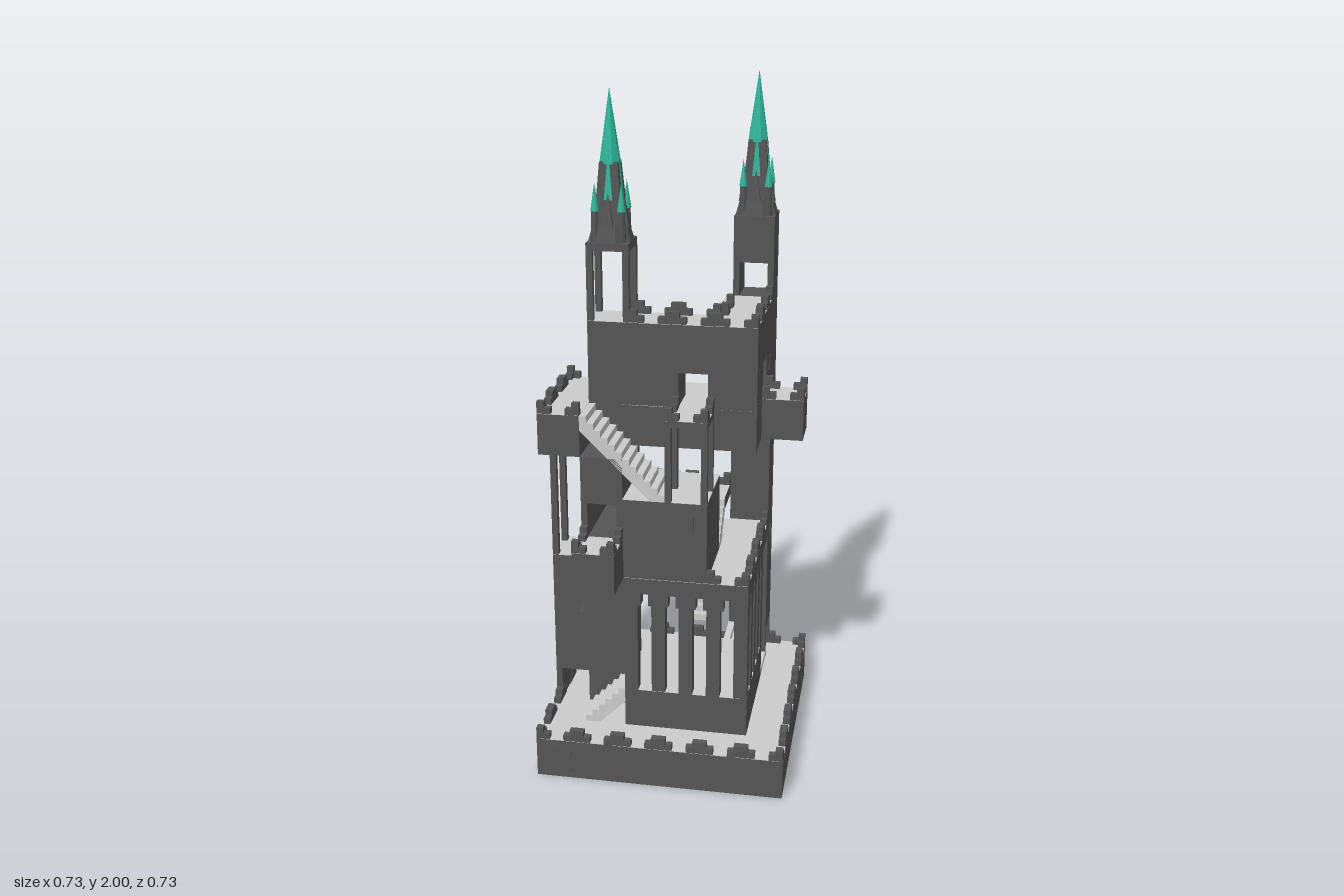
import * as THREE from 'three';
import { mergeGeometries } from 'three/addons/utils/BufferGeometryUtils.js';

// Everything is laid out on a grid of cells; one cell is U units.
const U = 0.1217;
const COLORS = { wall: 0x555555, floor: 0xcccccc, green: 0x2fb89a };

export function createModel() {
  const parts = {};
  const put = (name, color, g) => {
    const flat = g.index ? g.toNonIndexed() : g;
    flat.deleteAttribute('uv');
    (parts[name] ??= { color, list: [] }).list.push(flat);
  };
  const box = (name, x0, x1, y0, y1, z0, z1, color = 'wall') =>
    put(name, color, new THREE.BoxGeometry(x1 - x0, y1 - y0, z1 - z0)
      .translate((x0 + x1) / 2, (y0 + y1) / 2, (z0 + z1) / 2));

  // block with a light walking surface
  const deck = (name, x0, x1, y0, y1, z0, z1) => {
    box(name, x0, x1, y0, y1, z0, z1);
    box('paving', x0, x1, y1, y1 + 0.01, z0, z1, 'floor');
  };

  // stepped merlons along a straight edge; n is the inward direction
  const parapet = (y, x0, z0, x1, z1, nx, nz) => {
    const len = Math.hypot(x1 - x0, z1 - z0), dx = (x1 - x0) / len, dz = (z1 - z0) / len;
    for (let i = 0; i < len; i++) {
      for (const [a, b, h] of [[0, 0.17, 0.3], [0.17, 0.33, 0.16], [0.67, 0.83, 0.16], [0.83, 1, 0.3]]) {
        const xs = [x0 + dx * (i + a), x0 + dx * (i + b) + nx * 0.17].sort((p, q) => p - q);
        const zs = [z0 + dz * (i + a), z0 + dz * (i + b) + nz * 0.17].sort((p, q) => p - q);
        box('battlements', xs[0], xs[1], y, y + h, zs[0], zs[1]);
      }
    }
  };
  // sides: n = back, s = front, e = +x, w = -x
  const crown = (y, x0, x1, z0, z1, sides = 'nsew') => {
    if (sides.includes('n')) parapet(y, x0, z0, x1, z0, 0, 1);
    if (sides.includes('s')) parapet(y, x0, z1, x1, z1, 0, -1);
    if (sides.includes('w')) parapet(y, x0, z0, x0, z1, 1, 0);
    if (sides.includes('e')) parapet(y, x1, z0, x1, z1, -1, 0);
  };

  // four corner posts with a lintel ring
  const posts = (name, x, z, y0, y1, t = 0.15, lintel = 0.15) => {
    for (const a of [x, x + 1 - t]) for (const b of [z, z + 1 - t]) box(name, a, a + t, y0, y1, b, b + t);
    box(name, x, x + 1, y1 - lintel, y1, z, z + 1);
  };
  // one-cell passage running along 'x' or 'z'
  const passage = (name, x, z, y, axis) => {
    const t = 0.15;
    for (const s of [0, 1 - t]) {
      if (axis === 'z') box(name, x + s, x + s + t, y, y + 1, z, z + 1);
      else box(name, x, x + 1, y, y + 1, z + s, z + s + t);
    }
    box(name, x, x + 1, y + 0.85, y + 1, z, z + 1);
  };

  // flight of stairs with a sloping underside, rising at 45 degrees
  const flight = (x, y, z, angle, len = 1) => {
    const n = 6 * len, s = new THREE.Shape().moveTo(0, 0);
    for (let i = 0; i < n; i++) s.lineTo(i / 6, (i + 1) / 6).lineTo((i + 1) / 6, (i + 1) / 6);
    s.lineTo(len, len - 0.35).lineTo(0.35, 0);
    put('stairs', 'floor', new THREE.ExtrudeGeometry(s, { depth: 1, bevelEnabled: false })
      .rotateY(angle).translate(x, y, z));
  };
  const E = 0, N = Math.PI / 2, W = Math.PI, S = -Math.PI / 2;

  // tapering prism; four sides are turned flat to the axes
  const taper = (name, color, sides, r0, r1, y0, y1, x, z) =>
    put(name, color, new THREE.CylinderGeometry(r1, r0, y1 - y0, sides, 1)
      .rotateY(Math.PI / sides).translate(x, (y0 + y1) / 2, z));
  const spire = (x, z, y, skirt) => {
    box('spireBase', x - 0.5, x + 0.5, y - 0.08, y, z - 0.5, z + 0.5);
    taper('spireSkirt' + skirt, skirt, 8, 0.54, 0.42, y, y + 0.4, x, z);
    taper('spireBody', 'wall', 4, 0.48, 0.3, y + 0.3, y + 1.8, x, z);
    taper('spireTip', 'green', 8, 0.25, 0, y + 1.75, y + 3.43, x, z);
    for (let i = 0; i < 4; i++) {
      const a = i * Math.PI / 2, c = Math.cos(a), s = Math.sin(a);
      const px = x + 0.31 * (c - s), pz = z + 0.31 * (c + s);
      taper('pinnacleShaft', 'wall', 8, 0.1, 0.08, y, y + 0.7, px, pz);
      taper('pinnacleTip', 'green', 8, 0.1, 0, y + 0.7, y + 1.35, px, pz);
      // steep gable on each side
      taper('spireGable', 'wall', 4, 0.2, 0, y + 0.3, y + 1.1, x + c * 0.3, z + s * 0.3);
      taper('dormerTip', 'green', 4, 0.14, 0, y + 0.95, y + 2.1, x + c * 0.2, z + s * 0.2);
    }
  };

  // base terrace with corner panels
  deck('baseTerrace', -3, 3, 0, 1, -3, 3);
  crown(1, -3, 3, -3, 3);
  for (const a of [-2.5, 2.5]) for (const b of [-3, 3]) {
    box('basePanel', a - 0.36, a + 0.36, 0.16, 0.87, b - 0.01, b + 0.01);
    box('basePanel', b - 0.01, b + 0.01, 0.16, 0.87, a - 0.36, a + 0.36);
  }

  // arcade hall
  deck('hallPlinth', -1, 2, 1, 2, -1, 2);
  for (let i = 0; i < 5; i++) {
    const a = -1 + i * 2 / 3;
    box('arcadeColumn', a, a + 0.33, 2, 4.6, 1.72, 2);
    box('arcadeColumn', 1.72, 2, 2, 4.6, a, a + 0.33);
    box('arcadeCapital', a - (i ? 0.08 : 0), a + (i < 4 ? 0.41 : 0.33), 4.3, 4.6, 1.72, 2);
    box('arcadeCapital', 1.72, 2, 4.3, 4.6, a - (i ? 0.08 : 0), a + (i < 4 ? 0.41 : 0.33));
  }
  deck('hallRoof', -1, 2, 4.6, 5, 0, 2);
  deck('hallRoof', 1, 2, 4.6, 5, -2, 0);
  crown(5, 1, 2, 1, 2, 's');
  crown(5, 1, 2, -2, 2, 'e');
  deck('stairLanding', -1, 0, 3.7, 4, -2, -1);
  deck('stairLanding', -1, 1, 5.7, 6, -2, -1);
  crown(6, -1, 1, -2, -1, 'nw');

  // keep above the hall, with its post turret
  deck('keep', -1, 1, 5, 7, 0, 2);
  box('keepWindow', 0.32, 0.68, 6.32, 6.68, 1.99, 2.02);
  posts('turretPost', 0, 1, 7, 9);
  deck('turretDeck', 0, 1, 8.85, 9, 1, 2);
  crown(9, 0, 1, 1, 2, 'ews');

  // front stair tower with passage and balcony
  box('stairTower', -2, -1, 3, 6, 1, 2);
  passage('stairTower', -2, 1, 6, 'z');
  box('stairTower', -2, -1, 7, 8, 1, 2);
  deck('frontBalcony', -2, -1, 5, 6, 2, 3);
  crown(6, -2, -1, 2, 3, 'ews');
  box('bracket', -2.17, -2, 3.2, 3.9, 1.2, 1.8);

  // side gatehouse with open posts
  passage('gatehouse', -3, 0, 1, 'z');
  deck('gatehouse', -3, -2, 2, 5, 0, 1);
  posts('gatehousePost', -3, 0, 5, 8);

  // centre tower
  box('centreTower', -2, -1, 1, 6, 0, 1);
  passage('centreTower', -2, 0, 6, 'z');
  posts('centreTower', -2, 0, 7, 8);
  box('centreTower', -2, -1, 8, 11, 0, 1);
  deck('centreTower', -2, -1, 10.9, 11, 0, 1);
  posts('lanternPost', -2, 0, 11, 12.8);
  spire(-1.5, 0.5, 12.83, 'wall');

  // upper courtyard
  deck('courtyard', -3, -2, 8, 9, -1, 2);
  deck('courtyard', -2, 2, 8, 9, -1, 1);
  deck('courtyard', -2, -1, 8.7, 9, -2, -1);
  const wedge = new THREE.Shape().moveTo(-2, 8).lineTo(-1, 9).lineTo(-2, 9);
  put('corbel', 'wall', new THREE.ExtrudeGeometry(wedge, { depth: 1, bevelEnabled: false }).translate(0, 0, -2));
  crown(9, -3, -2, -1, 2, 'nws');
  crown(9, -2, -1, -2, -1, 'nw');
  deck('sideBalcony', 2, 3, 8, 9, -1, 0);
  crown(9, 2, 3, -1, 0, 'nse');

  // upper walls with two doors
  box('upperWall', -1, 0, 9, 11, 0, 1);
  passage('upperWall', 0, 0, 9, 'z');
  box('upperWall', 0, 1, 10, 11, 0, 1);
  box('upperWall', 1, 2, 9, 11, 0, 1);
  passage('upperWall', 1, -1, 9, 'x');
  box('upperWall', 1, 2, 10, 11, -1, 0);
  box('upperWall', 1, 2, 9, 11, -2, -1);
  box('upperWindow', 1.99, 2.02, 9.33, 9.67, -1.67, -1.33);
  deck('upperRoof', -1, 2, 10.95, 11, 0, 1);
  deck('upperRoof', 1, 2, 10.95, 11, -2, 0);
  crown(11, -1, 2, 0, 1, 's');
  crown(11, -1, 1, 0, 1, 'n');
  crown(11, 1, 2, -2, 1, 'e');
  crown(11, 1, 2, -1, 0, 'w');

  // tall back tower with gate and lookout
  passage('backTower', 1, -3, 1, 'x');
  box('backTower', 1, 2, 2, 11, -3, -2);
  passage('backTower', 1, -3, 11, 'z');
  box('backTower', 1, 2, 12, 13, -3, -2);
  box('towerWindow', 1.99, 2.02, 4.3, 4.66, -2.68, -2.32);
  box('towerWindow', 1.32, 1.68, 7.3, 7.66, -3.02, -2.99);
  spire(1.5, -2.5, 13, 'wall');

  // low corner tower on open posts
  posts('cornerPost', -3, -3, 1, 3);
  box('paving', -3, -2, 3, 3.01, -3, -2, 'floor');
  posts('cornerPost', -3, -3, 3, 4.6);
  spire(-2.5, -2.5, 4.62, 'green');

  // all flights, from the ground up
  flight(2, 1, -1, W);
  flight(-2, 1, 1, E);
  flight(0, 3, 0, N);
  flight(-2, 3, -2, S, 2);
  flight(0, 4, -2, E);
  flight(0, 5, 0, N);
  flight(0, 6, -1, S);
  flight(0, 7, 2, W, 2);
  flight(-1, 9, -2, E, 2);

  const group = new THREE.Group();
  group.name = 'castle';
  const mats = {};
  for (const k in COLORS) mats[k] = new THREE.MeshStandardMaterial({ color: COLORS[k], flatShading: true });
  for (const [name, { color, list }] of Object.entries(parts)) {
    const mesh = new THREE.Mesh(mergeGeometries(list).scale(U, U, U), mats[color]);
    mesh.name = name;
    group.add(mesh);
  }
  return group;
}
